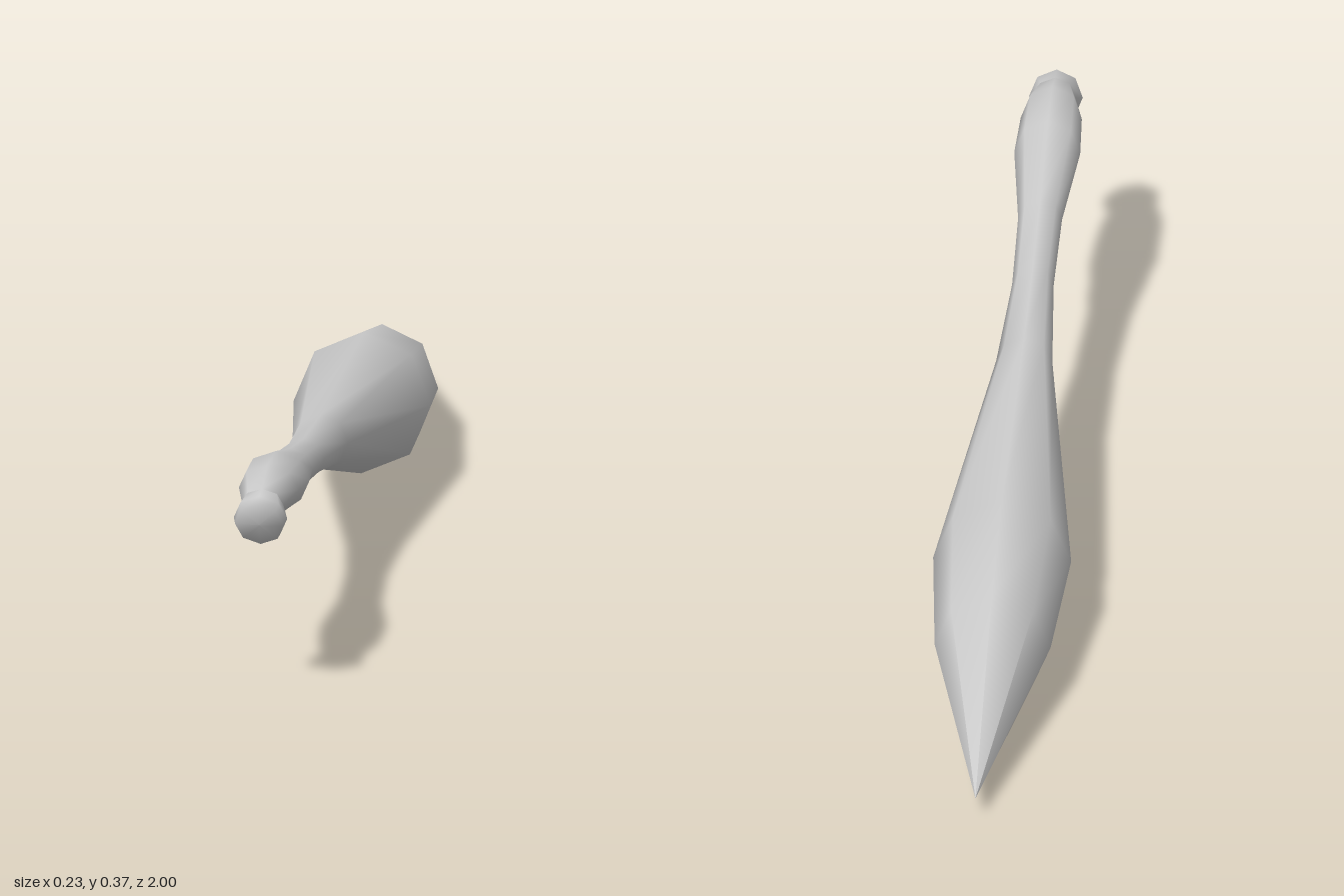
import * as THREE from 'three';

const SIDES = 8;

// Cross-sections from pointed back to front: [topZ, topY, bottomZ, bottomY, halfWidth]
const clubRings = [
  [-1.0, 0.04, -1.0, 0.04, 0],
  [-0.6, 0.203, -0.56, 0.003, 0.095],
  [-0.36, 0.256, -0.33, 0.025, 0.113],
  [0.19, 0.27, 0.2, 0.18, 0.046],
  [0.41, 0.291, 0.4, 0.223, 0.034],
  [0.58, 0.322, 0.58, 0.253, 0.036],
  [0.77, 0.37, 0.74, 0.267, 0.054],
  [0.88, 0.377, 0.83, 0.284, 0.05],
  [0.95, 0.356, 0.925, 0.297, 0.034],
];
const knobRings = [
  [0.95, 0.356, 0.925, 0.297, 0.034],
  [0.985, 0.353, 0.95, 0.27, 0.044],
  [1.0, 0.342, 0.966, 0.267, 0.04],
  [0.985, 0.304, 0.985, 0.304, 0],
];

// Skin of eight-sided rings; zero-width rings close the ends
function loft(rings) {
  const pos = [], index = [];
  rings.forEach(([tz, ty, bz, by, w], i) => {
    for (let j = 0; j < SIDES; j++) {
      const a = (j / SIDES) * Math.PI * 2, t = (1 + Math.cos(a)) / 2;
      pos.push(w * Math.sin(a), by + (ty - by) * t, bz + (tz - bz) * t);
      if (i === rings.length - 1) continue;
      const k = (j + 1) % SIDES;
      const p = i * SIDES + j, q = i * SIDES + k;
      if (w > 0) index.push(p, p + SIDES, q);
      if (rings[i + 1][4] > 0) index.push(q, p + SIDES, q + SIDES);
    }
  });
  const geo = new THREE.BufferGeometry();
  geo.setAttribute('position', new THREE.Float32BufferAttribute(pos, 3));
  geo.setIndex(index);
  geo.computeVertexNormals();
  return geo;
}

export function createModel() {
  const group = new THREE.Group();
  group.name = 'club';
  const material = new THREE.MeshStandardMaterial({ color: 0xcccccc });
  const add = (name, rings) => {
    const mesh = new THREE.Mesh(loft(rings), material);
    mesh.name = name;
    group.add(mesh);
  };
  // Tapered head, slim shaft and swollen grip in one skin
  add('headAndHandle', clubRings);
  // Flared end of the grip
  add('endKnob', knobRings);
  return group;
}
